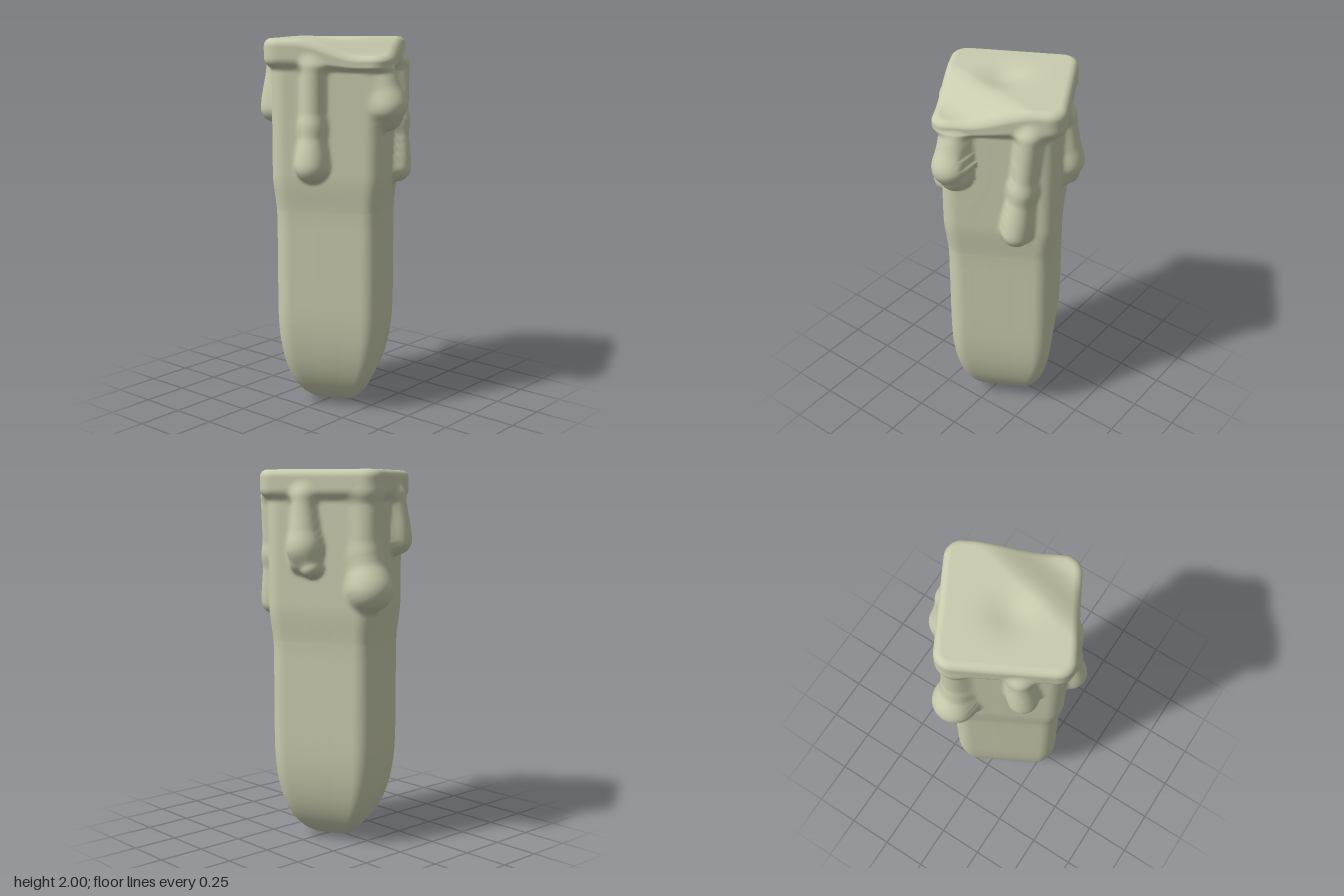
import * as THREE from 'three';

const { smoothstep, lerp } = THREE.MathUtils;
const COLUMNS = 200;

// Wax runs: path points [x, y, z, radius] from the rim down to the bead
const drips = [
  [[0.09, 1.86, -0.325, 0.08], [0.09, 1.56, -0.325, 0.08], [0.092, 1.39, -0.36, 0.12]],
  [[-0.21, 1.86, -0.235, 0.06], [-0.23, 1.63, -0.235, 0.08]],
  [[0.3, 1.86, -0.08, 0.06], [0.305, 1.6, -0.095, 0.085], [0.3, 1.5, -0.135, 0.055]],
  [[0.305, 1.58, -0.08, 0.06], [0.31, 1.52, -0.06, 0.05]],
  [[-0.29, 1.86, 0.09, 0.06], [-0.295, 1.55, 0.09, 0.06], [-0.315, 1.35, 0.095, 0.085]],
  [[0.285, 1.86, 0.195, 0.06], [0.26, 1.55, 0.21, 0.06], [0.235, 1.3, 0.23, 0.078]],
  [[-0.06, 1.86, 0.33, 0.08], [-0.05, 1.66, 0.385, 0.09], [-0.035, 1.6, 0.375, 0.07]],
];

const smoothMin = (a, b, k) => {
  const h = Math.max(k - Math.abs(a - b), 0) / k;
  return Math.min(a, b) - h * h * k * 0.25;
};

// Distance to a rounded square turned about the vertical axis
function roundedSquare(x, z, half, radius) {
  const u = Math.abs(0.88 * x - 0.475 * z) - half + radius;
  const v = Math.abs(0.475 * x + 0.88 * z) - half + radius;
  return Math.hypot(Math.max(u, 0), Math.max(v, 0)) + Math.min(Math.max(u, v), 0) - radius;
}

// Distance to a tapered capsule between two drip points
function capsule(x, y, z, a, b) {
  const d = [b[0] - a[0], b[1] - a[1], b[2] - a[2]];
  const dot = (x - a[0]) * d[0] + (y - a[1]) * d[1] + (z - a[2]) * d[2];
  const t = Math.min(1, Math.max(0, dot / (d[0] ** 2 + d[1] ** 2 + d[2] ** 2)));
  return Math.hypot(x - a[0] - d[0] * t, y - a[1] - d[1] * t, z - a[2] - d[2] * t) - lerp(a[3], b[3], smoothstep(t, 0, 1));
}

// Shaft, overhanging rim and drips melted together
function waxDistance(x, y, z) {
  const low = Math.max(0, (0.6 - y) / 0.6);
  const s = Math.max(1 - low ** 2.5, 0) ** (1 / 2.4);
  let d = roundedSquare(x, z, lerp(0.282, 0.3, smoothstep(y, 1.05, 1.3)) * s, 0.09 * s);
  if (y > 1.0) {
    const lip = -smoothMin(-roundedSquare(x, z, 0.332, 0.09), y - 1.855, 0.05);
    let run = lip;
    for (const path of drips) {
      for (let i = 0; i + 1 < path.length; i++) {
        run = smoothMin(run, capsule(x, y, z, path[i], path[i + 1]), 0.04);
      }
    }
    d = smoothMin(d, run, 0.03);
  }
  // rounded upper edge
  const e = Math.min(1, Math.max(0, (y - 1.96) / 0.04));
  return d + 0.04 * (1 - Math.sqrt(1 - e * e));
}

// Walk inwards to the outermost wax surface
function surfaceRadius(sin, cos, y) {
  let r = 0.65;
  for (let i = 0; i < 90 && r > 0; i++) {
    const d = waxDistance(sin * r, y, cos * r);
    if (d < 0.0003) break;
    r -= d * 0.85;
  }
  return Math.max(r, 0);
}

// How far the melted top sags: low front corner and a shallow pool
function sag(x, z) {
  const front = smoothstep(-0.25 * x + 0.97 * z, 0.1, 0.36);
  const pool = Math.exp(-((x + 0.03) ** 2 + (z + 0.02) ** 2) / 0.012);
  return 0.085 * front + 0.03 * pool;
}

function ringHeights() {
  const ys = [];
  const span = (from, to, n, curve) => {
    for (let i = 0; i < n; i++) ys.push(lerp(from, to, curve(i / n)));
  };
  span(0, 0.6, 26, (t) => t * t);
  span(0.6, 1.1, 10, (t) => t);
  span(1.1, 1.9, 100, (t) => t);
  span(1.9, 2, 20, (t) => Math.sin(t * Math.PI / 2));
  ys.push(2);
  return ys;
}

function waxGeometry() {
  const positions = [];
  const indices = [];
  const rim = [];
  const addPoint = (x, y, z) =>
    positions.push(x, y - sag(x, z) * smoothstep(y, 1.8, 2), z);

  // sides, from the rounded foot to the rim
  const ys = ringHeights();
  ys.forEach((y, row) => {
    for (let j = 0; j < COLUMNS; j++) {
      const a = (j / COLUMNS) * Math.PI * 2;
      const sin = Math.sin(a), cos = Math.cos(a);
      const r = surfaceRadius(sin, cos, y);
      addPoint(sin * r, y, cos * r);
      if (row === ys.length - 1) rim.push([sin * r, cos * r]);
    }
  });

  // melted top, rings closing towards the centre
  const topRings = 24;
  for (let i = 1; i <= topRings; i++) {
    const f = 1 - i / topRings;
    for (const [x, z] of rim) addPoint(x * f, 2, z * f);
  }

  const rows = ys.length + topRings;
  for (let i = 0; i < rows - 1; i++) {
    for (let j = 0; j < COLUMNS; j++) {
      const k = (j + 1) % COLUMNS;
      const a = i * COLUMNS + j, b = i * COLUMNS + k;
      const c = b + COLUMNS, d = a + COLUMNS;
      if (i > 0) indices.push(a, b, c);
      if (i < rows - 2) indices.push(a, c, d);
      if (i === 0) indices.push(a, c, d);
    }
  }

  const geometry = new THREE.BufferGeometry();
  geometry.setAttribute('position', new THREE.Float32BufferAttribute(positions, 3));
  geometry.setIndex(indices);
  geometry.computeVertexNormals();
  return geometry;
}

export function createModel() {
  const group = new THREE.Group();
  group.name = 'candle';
  const wax = new THREE.Mesh(waxGeometry(), new THREE.MeshStandardMaterial({ color: 0xc9ccae }));
  wax.name = 'meltedWax';
  group.add(wax);
  return group;
}
